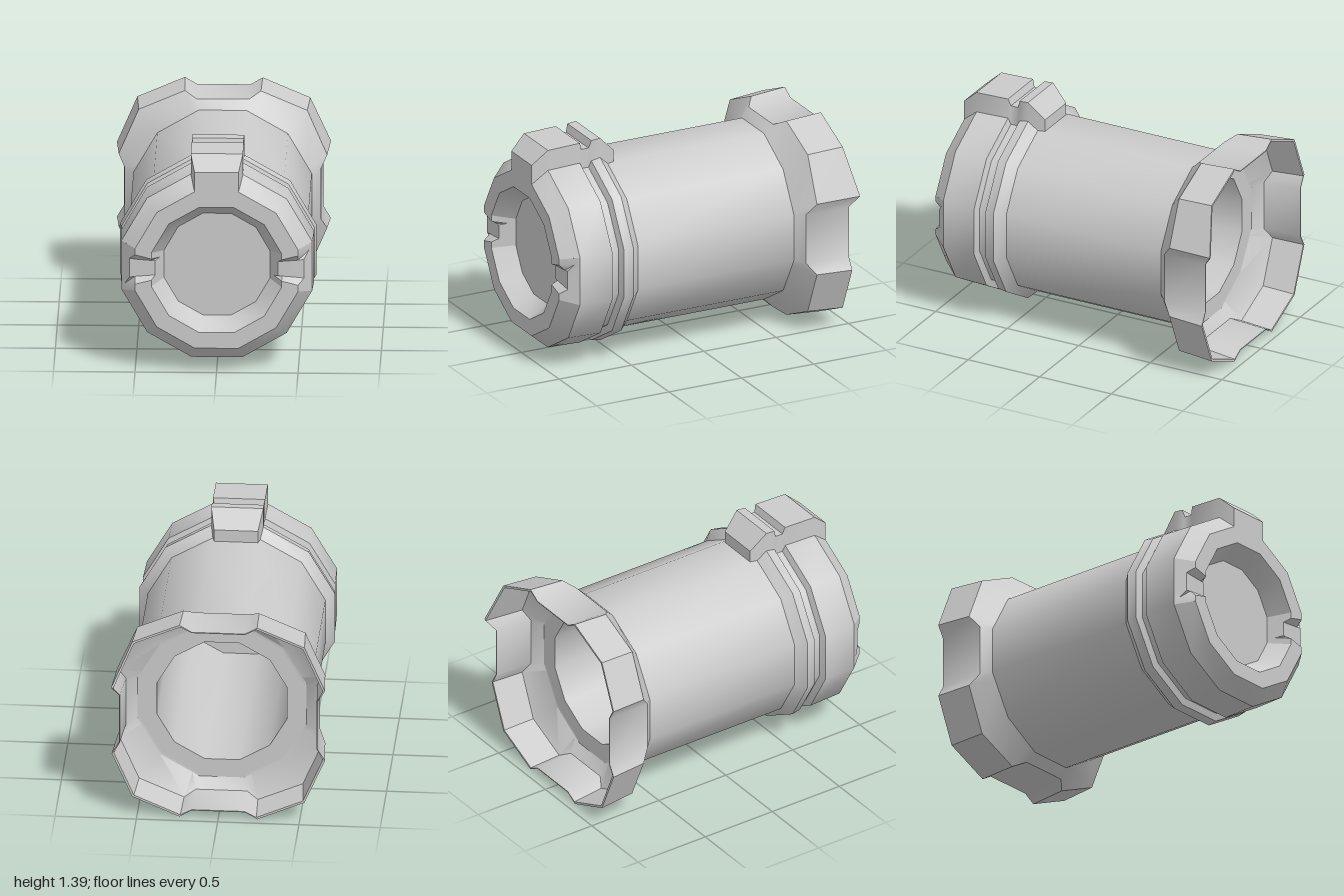
import * as THREE from 'three';
import { toCreasedNormals } from 'three/addons/utils/BufferGeometryUtils.js';

const CY = 0.66; // height of the long axis
const material = new THREE.MeshStandardMaterial({ color: 0xcccccc, side: THREE.DoubleSide });
const DEG = Math.PI / 180;

// Skins consecutive rows of [x, y, z] points; skip(row, column) leaves a quad out.
function skin(rows, closed, skip = () => false) {
  const out = [];
  const tri = (a, b, c) => {
    const t = new THREE.Triangle(...[a, b, c].map(p => new THREE.Vector3(...p)));
    if (t.getArea() > 1e-7) out.push(...a, ...b, ...c);
  };
  for (let i = 0; i + 1 < rows.length; i++) {
    const a = rows[i], b = rows[i + 1], n = a.length;
    for (let k = 0; k < (closed ? n : n - 1); k++) {
      if (skip(i, k)) continue;
      const m = (k + 1) % n;
      tri(a[k], b[k], b[m]);
      tri(a[k], b[m], a[m]);
    }
  }
  const g = new THREE.BufferGeometry();
  g.setAttribute('position', new THREE.Float32BufferAttribute(out, 3));
  return toCreasedNormals(g, 34 * DEG);
}

function part(name, geometry) {
  const mesh = new THREE.Mesh(geometry, material);
  mesh.name = name;
  return mesh;
}

const polar = (r, deg, z) => [r * Math.cos(deg * DEG), CY + r * Math.sin(deg * DEG), z];

// Twelve-sided ring with flats facing the axes, given its apothem
const ring12 = ([a, z]) =>
  Array.from({ length: 12 }, (_, k) => polar(a / Math.cos(15 * DEG), -15 + 30 * k, z));

// The same outline sampled at the angles of the lugged ring
const lugAngles = [15, 20, 45, 70, 75];
const lugRing = fn => [0, 90, 180, 270].flatMap(q =>
  lugAngles.map((deg, i) => {
    const [r, z] = fn(i, deg, q);
    return polar(r, q + deg, z);
  }));
const ring20 = (a, z) => lugRing((i, deg) => {
  const off = ((deg + 15) % 30) - 15;
  return [a / Math.cos(off * DEG), z];
});

// Ring whose diagonal lugs stand out beyond the four flats
const lugs = (scale, zFlat, zLug, tip) => lugRing((i, deg, q) => {
  const flat = i === 0 || i === 4;
  const r = [0.633, 0.698, 0.75, 0.698, 0.633][i] * (flat ? Math.min(1, scale + 0.01) : scale);
  if (tip && q === 0 && i === 1) return [r, -1]; // one drawn-out corner
  return [r, flat ? zFlat : zLug];
});

export function createModel() {
  const group = new THREE.Group();

  // Front cap: recessed face, rim, bevel; the two side facets are left out for the slots
  const cap = [[0, 0.87], [0.325, 0.87], [0.4, 1], [0.5, 1], [0.585, 0.9], [0.592, 0.68],
    [0.55, 0.665]];
  group.add(part('frontCap', skin(cap.map(ring12), true,
    (i, k) => i >= 1 && i <= 3 && k % 6 === 0)));

  // Collar and main tube
  const collar = [[0.55, 0.665], [0.55, 0.615], [0.592, 0.6], [0.602, 0.54], [0.547, 0.48]];
  group.add(part('collar', skin(collar.map(ring12), true)));
  group.add(part('tube', skin([[0.547, 0.48], [0.547, -0.6]].map(ring12), true)));

  // Rear crown: flare, lugged wall, thin rim and inner step
  group.add(part('rearCrown', skin([
    ring20(0.547, -0.6),
    lugs(0.975, -0.655, -0.71),
    lugs(1, -0.945, -0.945, true),
    lugs(0.98, -0.945, -0.945, true),
    lugs(0.95, -0.7, -0.74),
    ring20(0.52, -0.65),
    ring20(0.5, -0.65),
  ], true)));

  // Bore, closed behind the front cap
  const bore = [[0.5, -0.65], [0.4, -0.65], [0.4, 0.8], [0, 0.8]];
  group.add(part('bore', skin(bore.map(ring12), true)));

  // Slots in the rim, left and right: rows run outward over the rim;
  // each holds facet edge, slot edge and slot floor as [x, half width, z]
  const t = Math.tan(15 * DEG);
  const same = (x, z) => [[x, x * t, z], [x, x * t * 0.6, z], [x, x * t * 0.5, z]];
  const slot = [
    same(0.325, 0.87),
    [[0.35, 0.35 * t, 0.913], [0.35, 0.056, 0.913], [0.377, 0.045, 0.96]],
    [[0.4, 0.4 * t, 1], [0.4, 0.068, 1], [0.4, 0.047, 0.96]],
    [[0.5, 0.5 * t, 1], [0.5, 0.094, 1], [0.5, 0.055, 0.96]],
    [[0.565, 0.565 * t, 0.924], [0.565, 0.11, 0.924], [0.535, 0.06, 0.959]],
    same(0.585, 0.9),
  ];
  const slotRows = slot.map(([e, s, f]) => [
    ...[e, s, f].map(([x, h, z]) => [x, CY - h, z]),
    ...[f, s, e].map(([x, h, z]) => [x, CY + h, z]),
  ]);
  const slotGeometry = skin(slotRows, false);
  for (const [name, turn] of [['leftSlot', 0], ['rightSlot', Math.PI]]) {
    const mesh = part(name, slotGeometry);
    mesh.rotation.z = turn;
    if (turn) mesh.position.y = 2 * CY;
    group.add(mesh);
  }

  // Top key: stations from front to back as [z, top, half width, bottom]
  const key = [[1, 1.285, 0.135, 1.16], [0.9, 1.375, 0.16, 1.16], [0.68, 1.382, 0.16, 1.16],
    [0.665, 1.335, 0.15, 1.16], [0.615, 1.335, 0.15, 1.16], [0.6, 1.385, 0.16, 1.16],
    [0.54, 1.39, 0.16, 1.16], [0.435, 1.285, 0.135, 1.2]];
  const keyRows = key.map(([z, top, h, low]) =>
    [[-h, low, z], [h, low, z], [h, top, z], [-h, top, z]]);
  const pinch = row => row.map(() => [0, (row[0][1] + row[2][1]) / 2, row[0][2]]);
  group.add(part('topKey', skin(
    [pinch(keyRows[0]), ...keyRows, pinch(keyRows[keyRows.length - 1])], true)));

  return group;
}
